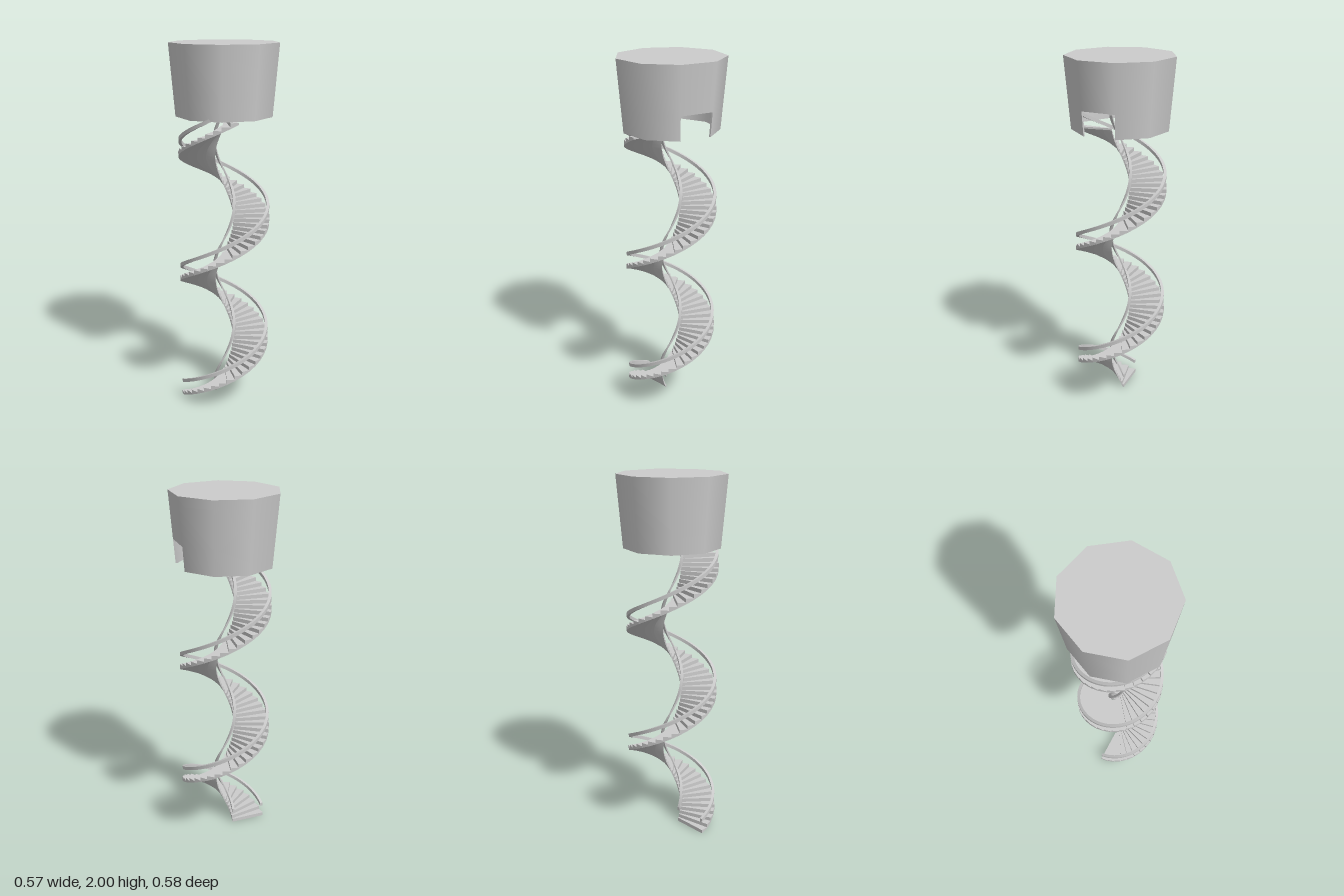
import * as THREE from 'three';

const AXIS_X = -0.01;
const STEPS = 80;
const RISE = 1.61;
const A0 = THREE.MathUtils.degToRad(24);
const TURN = THREE.MathUtils.degToRad(816);
const R_IN = 0.05, R_OUT = 0.25;
const material = new THREE.MeshStandardMaterial({ color: 0xcccccc, side: THREE.DoubleSide });

// Point on the spiral: radius, progress t (0..1) and height
function spiral(r, t, y) {
  const a = A0 + TURN * t;
  return [-r * Math.cos(a), y, r * Math.sin(a)];
}

function buffer(positions, index) {
  const g = new THREE.BufferGeometry();
  g.setAttribute('position', new THREE.Float32BufferAttribute(positions, 3));
  if (index) g.setIndex(index);
  g.computeVertexNormals();
  return g;
}

function quad(out, a, b, c, d) {
  out.push(...a, ...b, ...c, ...a, ...c, ...d);
}

function add(parent, name, geometry) {
  const m = new THREE.Mesh(geometry, material);
  m.name = name;
  parent.add(m);
}

// Smooth strip following the spiral between two profile points [r, y]
function ribbon(p, q, n, minY = -1) {
  const pos = [], idx = [];
  for (let i = 0; i <= n; i++) {
    const t = i / n;
    for (const s of [p, q]) pos.push(...spiral(s[0], t, Math.max(minY, s[1] + RISE * t)));
    if (i < n) {
      const k = i * 2;
      idx.push(k, k + 2, k + 3, k, k + 3, k + 1);
    }
  }
  return buffer(pos, idx);
}

// Handrail: square section swept up the spiral, with closed ends
function handrail(name, r) {
  const rail = new THREE.Group();
  rail.name = name;
  const w = 0.008, h = 0.01, y = 0.08;
  const section = [[r - w, y - h], [r + w, y - h], [r + w, y + h], [r - w, y + h]];
  section.forEach((p, i) => add(rail, name + 'Side', ribbon(p, section[(i + 1) % 4], 160)));
  const ends = [];
  const start = section.map(s => spiral(s[0], 0, s[1]));
  const end = section.map(s => spiral(s[0], 1, s[1] + RISE)).reverse();
  quad(ends, ...start);
  quad(ends, ...end);
  add(rail, name + 'Ends', buffer(ends));
  return rail;
}

// Staircase: treads, risers and side strings, with a smooth soffit below
function staircase() {
  const stairs = new THREE.Group();
  stairs.name = 'staircase';
  const drop = 0.01, h = RISE / STEPS, out = [];
  const low = t => Math.max(0, RISE * t - drop);
  for (let i = 0; i < STEPS; i++) {
    const t0 = i / STEPS, t1 = (i + 1) / STEPS, top = (i + 1) * h;
    const P = spiral;
    quad(out, P(R_IN, t0, top), P(R_OUT, t0, top), P(R_OUT, t1, top), P(R_IN, t1, top));
    quad(out, P(R_IN, t0, top - h), P(R_OUT, t0, top - h), P(R_OUT, t0, top), P(R_IN, t0, top));
    quad(out, P(R_OUT, t0, low(t0)), P(R_OUT, t1, low(t1)), P(R_OUT, t1, top), P(R_OUT, t0, top));
    quad(out, P(R_IN, t1, low(t1)), P(R_IN, t0, low(t0)), P(R_IN, t0, top), P(R_IN, t1, top));
  }
  quad(out, spiral(R_OUT, 1, low(1)), spiral(R_IN, 1, low(1)), spiral(R_IN, 1, RISE), spiral(R_OUT, 1, RISE));
  add(stairs, 'steps', buffer(out));
  const bands = 4;
  for (let k = 0; k < bands; k++) {
    const r = j => R_IN + (R_OUT - R_IN) * j / bands;
    add(stairs, 'soffit', ribbon([r(k), -drop], [r(k + 1), -drop], STEPS, 0));
  }
  return stairs;
}

// Nine-sided tapered room, open below, with a doorway in one facet
function room() {
  const g = new THREE.Group();
  g.name = 'room';
  const Y0 = 1.615, YD = 1.745, Y1 = 2, T = 0.009, F = Math.PI * 2 / 9;
  const radius = y => 0.262 + 0.033 * (y - Y0) / (Y1 - Y0);
  const door = Math.PI / 2, after = door + F;
  const lathe = (name, pts, seg, start) =>
    add(g, name, new THREE.LatheGeometry(pts.map(p => new THREE.Vector2(...p)), seg, start, seg * F));

  for (const [name, inset] of [['outerWall', 0], ['innerWall', T]]) {
    lathe(name + 'Upper', [[radius(YD) - inset, YD], [radius(Y1) - inset, Y1]], 9, after);
    lathe(name + 'Lower', [[radius(Y0) - inset, Y0], [radius(YD) - inset, YD]], 8, after);
  }
  lathe('roof', [[radius(Y1), Y1], [0, Y1]], 9, after);
  lathe('bottomRim', [[radius(Y0) - T, Y0], [radius(Y0), Y0]], 8, after);
  lathe('doorHead', [[radius(YD) - T, YD], [radius(YD), YD]], 1, door);

  // Door jambs
  const out = [];
  for (const a of [door, after]) {
    const at = (y, inset) => [(radius(y) - inset) * Math.sin(a), y, (radius(y) - inset) * Math.cos(a)];
    quad(out, at(Y0, T), at(Y0, 0), at(YD, 0), at(YD, T));
  }
  add(g, 'doorJambs', buffer(out));
  return g;
}

export function createModel() {
  const model = new THREE.Group();
  model.name = 'spiralStairTower';
  model.add(staircase(), handrail('outerHandrail', 0.24), handrail('innerHandrail', 0.055), room());
  model.position.x = AXIS_X;
  const root = new THREE.Group();
  root.name = 'model';
  root.add(model);
  return root;
}
